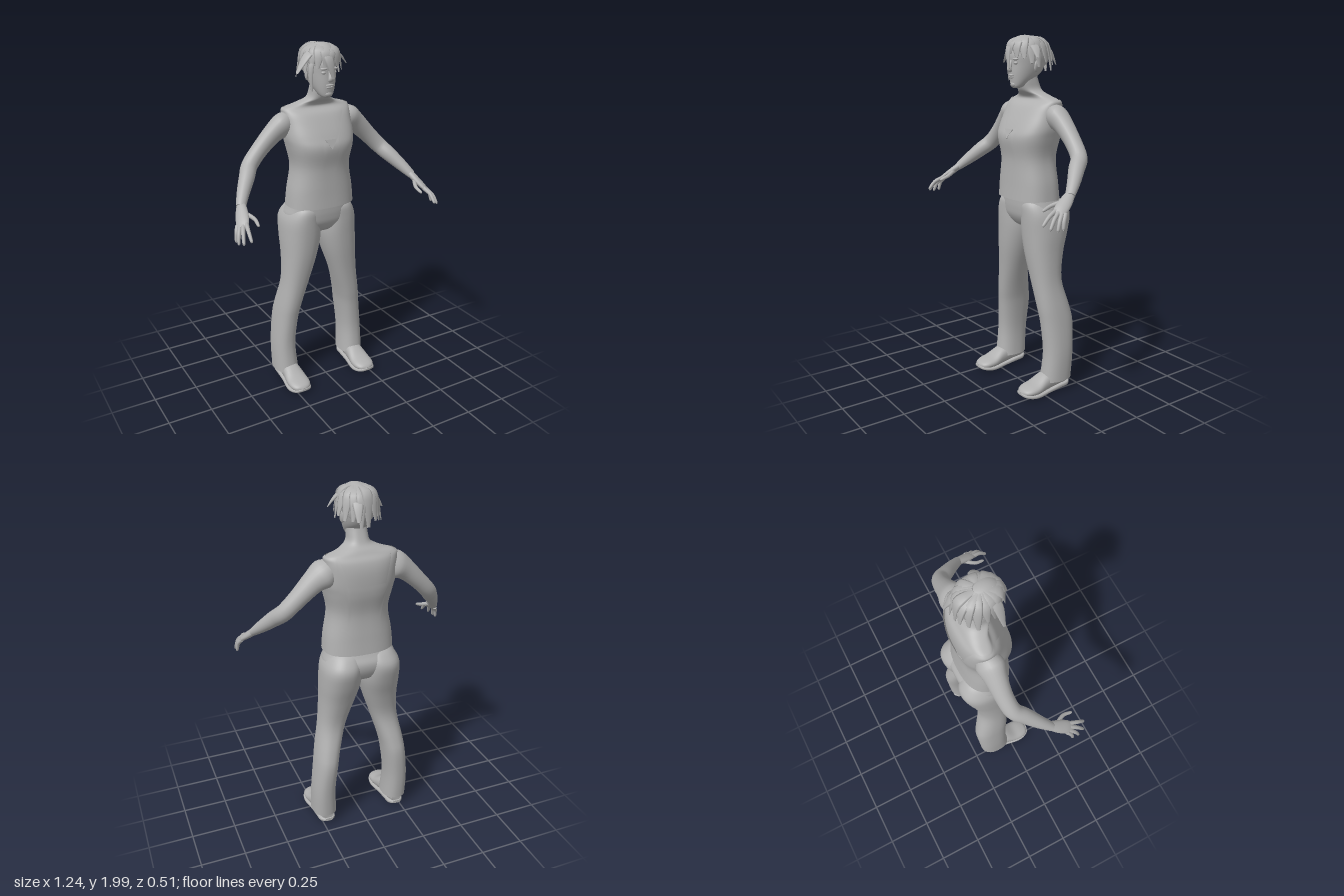
import * as THREE from 'three';

const grey = new THREE.MeshStandardMaterial({ color: 0xb0b0b0, side: THREE.DoubleSide });
grey.name = 'plain grey';
const V = (a) => new THREE.Vector3(...a);
const mesh = (name, geometry) => {
  const m = new THREE.Mesh(geometry, grey);
  m.name = name;
  return m;
};

// Catmull-Rom sample of a table of rows at a fractional row index
function sample(rows, t) {
  const i = Math.min(Math.max(Math.floor(t), 0), rows.length - 2), f = t - i;
  const at = (k) => rows[Math.min(Math.max(k, 0), rows.length - 1)];
  return rows[i].map((b, k) => {
    const a = at(i - 1)[k], c = at(i + 1)[k], d = at(i + 2)[k];
    return b + 0.5 * f * (c - a + f * (2 * a - 5 * b + 4 * c - d + f * (3 * (b - c) + d - a)));
  });
}

// Smooth tube surface closed around u; caps are flat fans
function surface(fn, nu, nv, caps = true) {
  const pos = [], idx = [];
  for (let j = 0; j <= nv; j++)
    for (let i = 0; i < nu; i++) pos.push(...fn((i / nu) * Math.PI * 2, j / nv));
  for (let j = 0; j < nv; j++)
    for (let i = 0; i < nu; i++) {
      const a = j * nu + i, b = j * nu + ((i + 1) % nu);
      idx.push(a, b, b + nu, a, b + nu, a + nu);
    }
  if (caps)
    for (const j of [0, nv]) {
      const start = pos.length / 3, c = [0, 0, 0];
      for (let i = 0; i < nu; i++) {
        const p = pos.slice((j * nu + i) * 3, (j * nu + i) * 3 + 3);
        p.forEach((n, k) => (c[k] += n / nu));
        pos.push(...p);
      }
      pos.push(...c);
      for (let i = 0; i < nu; i++) {
        const a = start + i, b = start + ((i + 1) % nu);
        idx.push(...(j ? [a, b, start + nu] : [b, a, start + nu]));
      }
    }
  const g = new THREE.BufferGeometry();
  g.setAttribute('position', new THREE.Float32BufferAttribute(pos, 3));
  g.setIndex(idx);
  g.computeVertexNormals();
  return g;
}

const sp = (n, p) => Math.sign(n) * Math.abs(n) ** (2 / p);

// Point on an upright body; rows are [y, xCentre, halfWidth, zFront, zBack], rising
function bodyPoint(rows, u, t, power, grow = 0) {
  const [y, xc, hx, zf, zb] = sample(rows, t);
  return [xc + (hx + grow) * sp(Math.sin(u), power), y,
    (zf + zb) / 2 + ((zf - zb) / 2 + grow) * sp(Math.cos(u), power)];
}
const body = (rows, power = 2.3, from = 0) => surface(
  (u, v) => bodyPoint(rows, u, from + v * (rows.length - 1 - from), power), 40, (rows.length - 1) * 4);

// Limb along a path; rows are [x, y, z, radius along side, other radius]
function sweep(rows, side, nu = 14, per = 4) {
  const n = rows.length - 1, e = 0.02;
  return surface((u, v) => {
    const t = v * n, c = sample(rows, t);
    const T = V(sample(rows, Math.min(t + e, n)).slice(0, 3))
      .sub(V(sample(rows, Math.max(t - e, 0)).slice(0, 3))).normalize();
    const S = side.clone().addScaledVector(T, -side.dot(T)).normalize();
    const U = T.clone().cross(S);
    return V(c.slice(0, 3)).addScaledVector(S, c[3] * Math.cos(u)).addScaledVector(U, c[4] * Math.sin(u)).toArray();
  }, nu, n * per);
}

function ball(name, [x, y, z], [rx, ry, rz]) {
  const m = mesh(name, new THREE.SphereGeometry(1, 16, 10));
  m.position.set(x, y, z);
  m.scale.set(rx, ry, rz);
  return m;
}

const torsoRows = [
  [1.105, 0, 0.19, 0.052, -0.208], [1.2, 0, 0.181, 0.048, -0.2], [1.33, 0, 0.16, 0.047, -0.194],
  [1.44, 0, 0.18, 0.064, -0.214], [1.5, 0, 0.192, 0.045, -0.219], [1.57, 0, 0.192, 0.008, -0.217],
  [1.62, 0, 0.193, -0.025, -0.205], [1.65, 0, 0.187, -0.06, -0.183], [1.672, 0, 0.12, -0.055, -0.168],
  [1.7, 0, 0.064, -0.022, -0.145], [1.75, 0, 0.053, -0.004, -0.125], [1.8, 0, 0.05, 0, -0.11]];
const headRows = [
  [1.712, 0, 0.016, 0.025, -0.005], [1.722, 0, 0.034, 0.035, -0.035], [1.75, 0, 0.051, 0.04, -0.08],
  [1.79, 0, 0.066, 0.044, -0.14], [1.84, 0, 0.076, 0.044, -0.172], [1.89, 0, 0.078, 0.046, -0.18],
  [1.94, 0, 0.068, 0.026, -0.165], [1.972, 0, 0.045, -0.01, -0.13], [1.983, 0, 0.01, -0.05, -0.08]];
const pelvisRows = [
  [0.925, 0, 0.04, -0.07, -0.14], [0.95, 0, 0.12, -0.01, -0.2], [1.0, 0, 0.2, 0.025, -0.23],
  [1.05, 0, 0.207, 0.035, -0.235], [1.09, 0, 0.195, 0.037, -0.215], [1.13, 0, 0.182, 0.037, -0.195]];
const legRows = [
  [0.07, 0.226, 0.071, -0.012, -0.2], [0.23, 0.229, 0.066, -0.03, -0.212], [0.4, 0.212, 0.066, -0.022, -0.222],
  [0.5, 0.195, 0.069, -0.01, -0.205], [0.65, 0.16, 0.078, 0.004, -0.172], [0.8, 0.13, 0.098, 0.02, -0.198],
  [0.92, 0.115, 0.112, 0.028, -0.236], [1.02, 0.112, 0.108, 0.032, -0.256], [1.08, 0.1, 0.092, 0.03, -0.225],
  [1.11, 0.095, 0.07, 0.01, -0.19]];

// Sleeveless top: body shell whose upper edge dips at the neckline
function topGeometry() {
  const edge = (u) => {
    const a = Math.abs(Math.sin(u)), front = Math.cos(u) > 0;
    const k = THREE.MathUtils.clamp(front ? (a - 0.15) / 0.57 : (a - 0.45) / 0.25, 0, 1);
    return 4 + 3.1 * k;
  };
  return surface((u, v) => bodyPoint(torsoRows, u, v * edge(u), 2.5, 0.007), 80, 32, false);
}

function arm() {
  const g = new THREE.Group();
  const across = V([0.04, -0.015, -0.03]);
  g.add(mesh('arm', sweep([
    [0.15, 1.585, -0.118, 0.05, 0.05], [0.2, 1.56, -0.118, 0.064, 0.078], [0.26, 1.52, -0.118, 0.053, 0.062],
    [0.34, 1.445, -0.115, 0.045, 0.05], [0.41, 1.372, -0.098, 0.044, 0.046], [0.45, 1.325, -0.05, 0.042, 0.043],
    [0.5, 1.265, 0.01, 0.034, 0.034], [0.54, 1.213, 0.065, 0.026, 0.022]], V([0.5, 0.5, -0.7]), 24)));
  g.add(mesh('palm', sweep([
    [0.533, 1.222, 0.055, 0.024, 0.02], [0.55, 1.19, 0.098, 0.034, 0.019],
    [0.566, 1.16, 0.14, 0.036, 0.016], [0.578, 1.138, 0.168, 0.03, 0.01]], across, 18)));
  const fingers = [
    ['indexFinger', [0.556, 1.155, 0.165], [0.57, 1.09, 0.257]],
    ['middleFinger', [0.572, 1.148, 0.162], [0.604, 1.075, 0.236]],
    ['ringFinger', [0.585, 1.142, 0.15], [0.617, 1.066, 0.2]],
    ['littleFinger', [0.592, 1.142, 0.135], [0.616, 1.068, 0.165]],
    ['thumb', [0.535, 1.19, 0.1], [0.505, 1.148, 0.21]]];
  for (const [name, a, b] of fingers) {
    const mid = a.map((n, k) => (n + b[k]) / 2 + (name === 'thumb' ? [-0.014, 0, 0][k] : [0.004, 0.009, 0.004][k]));
    const tip = b.map((n, k) => n + (a[k] - n) * 0.08);
    g.add(mesh(name, sweep([[...a, 0.012, 0.012], [...mid, 0.0105, 0.0105], [...tip, 0.008, 0.008],
      [...b, 0.002, 0.002]], across, 10)));
  }
  return g;
}

// Shoe sections run from heel to toe: [z, xCentre, halfWidth, yTop, yBottom]
function shoePart(rows, power) {
  return surface((u, v) => {
    const [z, xc, hw, top, low] = sample(rows, v * (rows.length - 1));
    return [xc + hw * sp(Math.cos(u), power), (top + low) / 2 + ((top - low) / 2) * sp(Math.sin(u), power), z];
  }, 28, (rows.length - 1) * 4);
}

function leg() {
  const g = new THREE.Group();
  g.add(mesh('trouserLeg', body(legRows, 2.3)));
  g.add(mesh('shoeUpper', shoePart([
    [-0.185, 0.222, 0.03, 0.09, 0.035], [-0.15, 0.222, 0.048, 0.11, 0.03], [-0.08, 0.222, 0.05, 0.125, 0.02],
    [-0.02, 0.222, 0.055, 0.115, 0.012], [0.04, 0.222, 0.064, 0.08, 0.01], [0.09, 0.222, 0.061, 0.066, 0.012],
    [0.122, 0.222, 0.043, 0.054, 0.018], [0.135, 0.222, 0.012, 0.04, 0.026]], 2.2)));
  g.add(mesh('shoeSole', shoePart([
    [-0.192, 0.222, 0.025, 0.04, 0.022], [-0.165, 0.222, 0.047, 0.042, 0.014], [-0.11, 0.222, 0.052, 0.04, 0.01],
    [-0.04, 0.222, 0.055, 0.03, 0.004], [0.04, 0.222, 0.068, 0.026, 0], [0.09, 0.222, 0.065, 0.028, 0.004],
    [0.127, 0.222, 0.046, 0.034, 0.014], [0.14, 0.222, 0.014, 0.036, 0.024]], 3.5)));
  return g;
}

// Face features and ears
function face() {
  const g = new THREE.Group();
  g.add(mesh('nose', sweep([[0, 1.862, 0.038, 0.008, 0.008], [0, 1.835, 0.048, 0.01, 0.01],
    [0, 1.812, 0.055, 0.015, 0.011], [0, 1.802, 0.045, 0.012, 0.008]], V([1, 0, 0]))));
  g.add(ball('upperLip', [0, 1.781, 0.043], [0.024, 0.006, 0.009]));
  g.add(ball('lowerLip', [0, 1.77, 0.041], [0.02, 0.006, 0.009]));
  g.add(ball('chin', [0, 1.733, 0.025], [0.024, 0.017, 0.017]));
  for (const s of [1, -1]) {
    g.add(ball('eye', [s * 0.031, 1.846, 0.034], [0.014, 0.008, 0.01]));
    g.add(ball('brow', [s * 0.031, 1.866, 0.036], [0.022, 0.007, 0.012]));
    const ear = ball('ear', [s * 0.079, 1.83, -0.07], [0.009, 0.033, 0.02]);
    ear.rotation.set(-0.2, s * 0.35, 0);
    g.add(ear);
  }
  return g;
}

// Hair: a tilted cap with loose flat locks
function hair() {
  const g = new THREE.Group();
  const cap = mesh('hairCap', new THREE.SphereGeometry(1, 32, 16, 0, Math.PI * 2, 0, 1.75));
  cap.scale.set(0.09, 0.098, 0.125);
  cap.position.set(0, 1.889, -0.07);
  cap.rotation.x = -0.45;
  g.add(cap);
  const lock = (root, mid, tip, w) => {
    const out = V(mid).sub(V([0, 1.87, -0.065]));
    const side = V(tip).sub(V(root)).cross(out);
    g.add(mesh('hairLock', sweep([[...root, w * 0.5, 0.004], [...mid, w, 0.007], [...tip, w * 0.3, 0.002]], side, 8, 5)));
  };
  let seed = 7;
  const rnd = () => (seed = (seed * 16807) % 2147483647) / 2147483647;
  for (let i = 0; i < 18; i++) {
    const a = (i / 18) * Math.PI * 2 + 0.1, x = Math.sin(a), z = Math.cos(a);
    const flare = 1 + rnd() * 0.22, drop = 1.855 - 0.035 * (1 - z) + rnd() * 0.045;
    lock([x * 0.025, 1.985, -0.065 + z * 0.03], [x * 0.088, 1.945 + rnd() * 0.012, -0.07 + z * 0.11],
      [x * 0.1 * flare, drop, -0.068 + z * 0.12 * (z > 0 ? 1 : flare)], 0.022 + rnd() * 0.012);
  }
  // Long stray locks
  lock([-0.03, 1.97, -0.03], [-0.1, 1.93, -0.02], [-0.16, 1.845, -0.02], 0.028);
  lock([0.03, 1.97, -0.04], [0.1, 1.93, -0.04], [0.143, 1.875, -0.03], 0.028);
  lock([-0.05, 1.95, 0], [-0.088, 1.87, 0], [-0.083, 1.75, 0], 0.016);
  lock([-0.02, 1.98, -0.01], [-0.012, 1.92, 0.052], [0.012, 1.815, 0.064], 0.026);
  lock([0.02, 1.97, -0.1], [0.04, 1.92, -0.18], [0.05, 1.835, -0.222], 0.028);
  return g;
}

export function createModel() {
  const model = new THREE.Group();
  model.name = 'standingFigure';
  model.add(mesh('chestAndNeck', body(torsoRows, 2.5, 2.5)));
  model.add(mesh('sleevelessTop', topGeometry()));
  model.add(mesh('head', body(headRows, 2.15)));
  model.add(mesh('trouserSeat', body(pelvisRows, 2.4)));

  // Small triangular inset below the neckline
  const tri = new THREE.Shape([[-0.036, 0.026], [0, -0.03], [0.036, 0.026]].map((p) => new THREE.Vector2(...p)));
  const inset = mesh('necklineInset', new THREE.ExtrudeGeometry(tri, { depth: 0.005, bevelEnabled: false }));
  inset.position.set(0, 1.468, 0.062);
  inset.rotation.x = -0.3;
  model.add(inset);

  for (const [name, part] of [['face', face()], ['hair', hair()]]) {
    part.name = name;
    model.add(part);
  }
  for (const [label, s] of [['left', 1], ['right', -1]])
    for (const [name, build] of [['Arm', arm], ['Leg', leg]]) {
      const limb = build();
      limb.name = label + name;
      limb.scale.x = s;
      model.add(limb);
    }
  return model;
}
